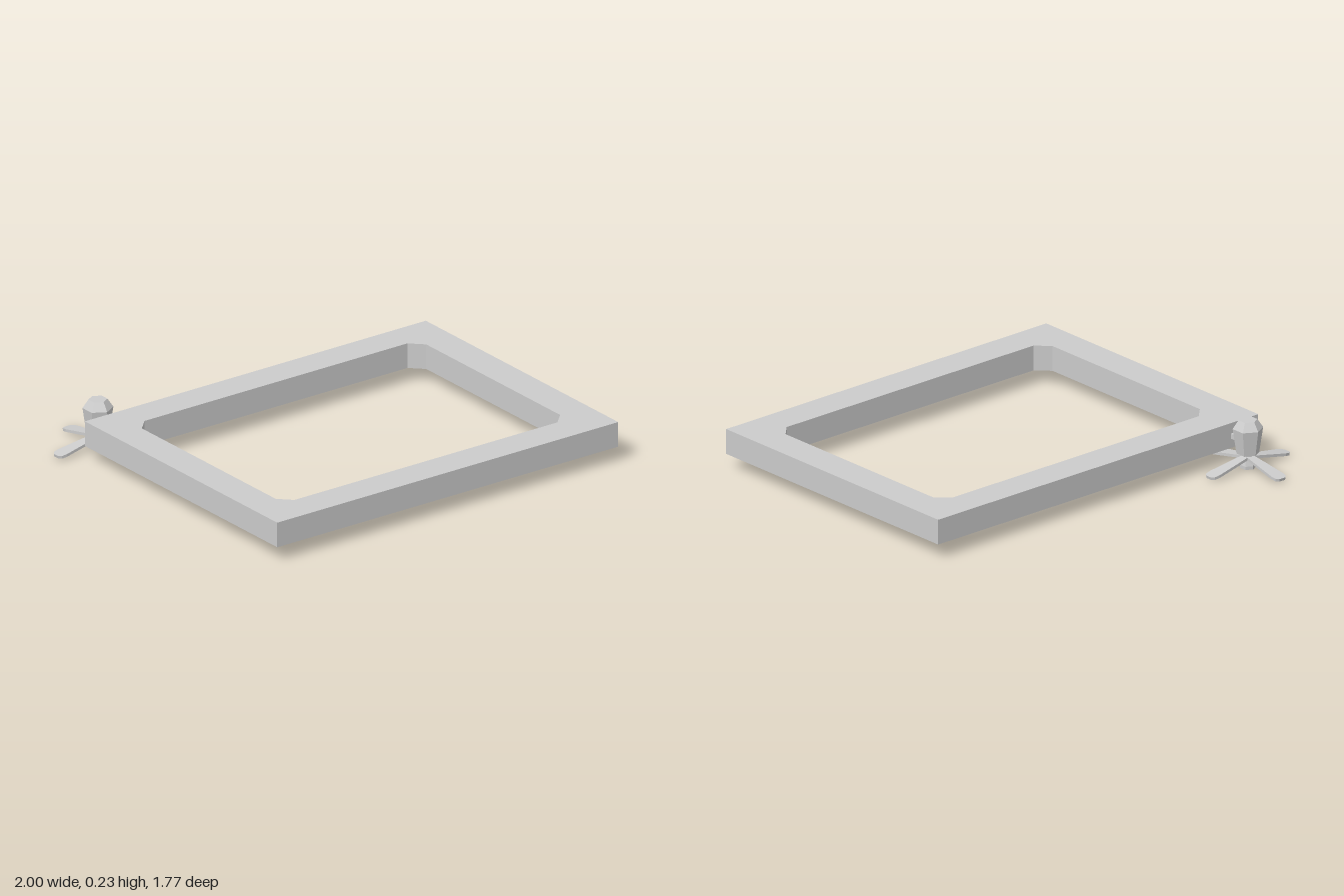
import * as THREE from 'three';

const material = new THREE.MeshStandardMaterial({ color: 0xcccccc, flatShading: true });

function part(name, geometry, parent) {
  const mesh = new THREE.Mesh(geometry, material);
  mesh.name = name;
  parent.add(mesh);
  return mesh;
}

const points = (list) => list.map(([x, y]) => new THREE.Vector2(x, y));

// Flat outline in (x, z), extruded upward from y = 0
function slab(shape, height) {
  return new THREE.ExtrudeGeometry(shape, { depth: height, bevelEnabled: false })
    .rotateX(Math.PI / 2)
    .translate(0, height, 0);
}

export function createModel() {
  const model = new THREE.Group();

  // Rectangular frame with a chamfered opening
  const outline = new THREE.Shape(points([[-0.91, -0.557], [1, -0.557], [1, 0.883], [-0.91, 0.883]]));
  const [x0, x1, z0, z1, c] = [-0.753, 0.84, -0.4, 0.722, 0.06];
  outline.holes.push(new THREE.Path(points([
    [x0 + c, z0], [x0, z0 + c], [x0, z1 - c], [x0 + c, z1],
    [x1 - c, z1], [x1, z1 - c], [x1, z0 + c], [x1 - c, z0],
  ])));
  part('frame', slab(outline, 0.12), model).position.y = 0.07;

  // Motor unit hung on the back edge
  const motor = new THREE.Group();
  motor.name = 'motor';
  motor.position.set(-0.767, 0, -0.65);
  model.add(motor);

  // Six-sided housing
  part('motorHousing', new THREE.LatheGeometry(points([
    [0, 0.07], [0.052, 0.07], [0.07, 0.19], [0.043, 0.23], [0, 0.23],
  ]), 6), motor);

  // Drive shaft and flared hub
  part('propellerHub', new THREE.LatheGeometry(points([
    [0, 0], [0.036, 0], [0.036, 0.015], [0.024, 0.055], [0.024, 0.075], [0, 0.075],
  ]), 6), motor);

  // Bracket joining the housing to the frame
  part('bracket', new THREE.BoxGeometry(0.04, 0.024, 0.06), motor).position.set(0, 0.127, 0.07);

  // Four drooping paddle blades
  const bladeShape = new THREE.Shape(points([
    [0, -0.018], [0.08, -0.025], [0.2, -0.034], [0.225, -0.03], [0.236, -0.017],
    [0.236, 0.017], [0.225, 0.03], [0.2, 0.034], [0.08, 0.025], [0, 0.018],
  ]));
  const bladeGeometry = slab(bladeShape, 0.013).rotateZ(-0.18).translate(0, 0.047, 0);
  for (let i = 0; i < 4; i++) {
    part('propellerBlade', bladeGeometry, motor).rotation.y = (i * Math.PI) / 2;
  }

  return model;
}
